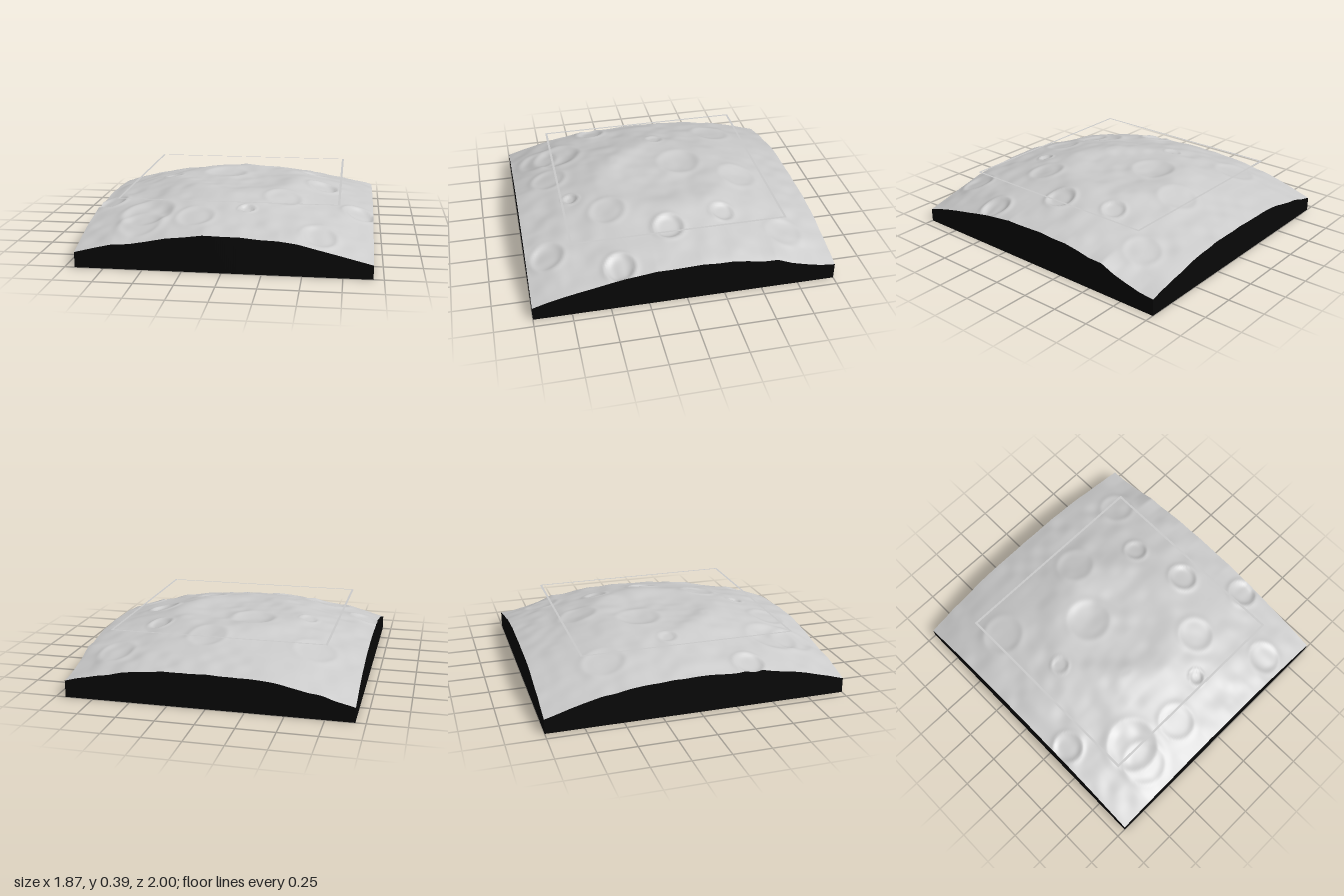
import * as THREE from 'three';

const HX = 0.935, HZ = 1, R = 3.4, TOP = 0.385;

// Small smooth value noise
const hash = (i, j) => {
  const s = Math.sin(i * 127.1 + j * 311.7) * 43758.5453;
  return s - Math.floor(s);
};
const fade = t => t * t * (3 - 2 * t);
function noise(x, z) {
  const i = Math.floor(x), j = Math.floor(z), u = fade(x - i), v = fade(z - j);
  const lerp = THREE.MathUtils.lerp;
  return lerp(lerp(hash(i, j), hash(i + 1, j), u), lerp(hash(i, j + 1), hash(i + 1, j + 1), u), v) - 0.5;
}

// Craters: x, z, radius, depth
const craters = [
  [-0.53, 0.66, 0.17, 0.012], [-0.55, 0.8, 0.14, 0.008], [0.59, 0.05, 0.1, 0.014],
  [0.12, 0.64, 0.05, 0.012], [0.5, -0.34, 0.08, 0.01], [-0.13, -0.18, 0.15, 0.007],
  [-0.2, 0.76, 0.12, 0.008], [0.6, 0.86, 0.11, 0.01], [-0.85, 0.36, 0.1, 0.012],
  [0.84, 0.42, 0.1, 0.014], [0.34, 0.42, 0.12, 0.008], [-0.5, -0.08, 0.06, 0.007],
  [0.1, -0.56, 0.13, 0.006], [-0.62, -0.55, 0.14, 0.006], [0.68, -0.72, 0.12, 0.006],
];

// Bowl with a raised rim that fades outwards
function crater(d, r, depth) {
  const t = d / r;
  const rim = Math.exp(-(((t - 1) / 0.22) ** 2)) * depth * 0.6;
  return rim - (t < 1 ? depth * (1 - t ** 4) : 0);
}

function landscape(x, z) {
  let y = TOP - R + Math.sqrt(R * R - x * x - z * z);
  const d = Math.hypot(x, z + 0.02);
  // Broad central basin and its rim
  y += 0.019 * Math.exp(-(((d - 0.42) / 0.13) ** 2)) - 0.016 * Math.exp(-((d / 0.3) ** 4));
  for (const [cx, cz, r, depth] of craters) y += crater(Math.hypot(x - cx, z - cz), r, depth);
  y += 0.012 * noise(x * 5 + 9, z * 5 + 4) + 0.01 * noise(x * 11, z * 11 + 30);
  return Math.min(y, 0.388);
}

// Cut profiles along the front and the +x side: evenly spaced heights
const frontCut = [0.1, 0.13, 0.158, 0.166, 0.187, 0.211, 0.223, 0.239, 0.236, 0.235, 0.224, 0.22, 0.205, 0.176, 0.148, 0.119, 0.09];
const sideCut = [0.112, 0.122, 0.145, 0.172, 0.214, 0.216, 0.236, 0.25, 0.25, 0.258, 0.254, 0.25, 0.25, 0.237, 0.225, 0.207, 0.186, 0.167, 0.146, 0.121, 0.09];

function sample(list, t) {
  const f = THREE.MathUtils.clamp(t, 0, 1) * (list.length - 1);
  const i = Math.min(Math.floor(f), list.length - 2);
  return THREE.MathUtils.lerp(list[i], list[i + 1], f - i);
}

function height(x, z) {
  const nearFront = (px, pz) => {
    const w = THREE.MathUtils.smoothstep(pz, HZ - 0.22, HZ);
    return landscape(px, pz) + w * (sample(frontCut, (px + HX) / (2 * HX)) - landscape(px, HZ));
  };
  const w = THREE.MathUtils.smoothstep(x, HX - 0.22, HX);
  return nearFront(x, z) + w * (sample(sideCut, (z + HZ) / (2 * HZ)) - nearFront(HX, z));
}

export function createModel() {
  const group = new THREE.Group();
  const grey = new THREE.MeshStandardMaterial({ color: 0xcccccc });
  const black = new THREE.MeshStandardMaterial({ color: 0x080808 });
  const add = (name, geometry, material) => {
    const mesh = new THREE.Mesh(geometry, material);
    mesh.name = name;
    group.add(mesh);
  };
  const NX = 140, NZ = 150;

  // Curved, cratered ground
  const ground = new THREE.PlaneGeometry(2 * HX, 2 * HZ, NX, NZ).rotateX(-Math.PI / 2);
  const p = ground.attributes.position;
  for (let i = 0; i < p.count; i++) p.setY(i, height(p.getX(i), p.getZ(i)));
  ground.computeVertexNormals();
  add('terrain', ground, grey);

  // Four cut walls whose top edge follows the ground
  ['frontWall', 'leftWall', 'backWall', 'rightWall'].forEach((name, k) => {
    const across = k % 2 === 0;
    const wall = new THREE.PlaneGeometry(across ? 2 * HX : 2 * HZ, 1, across ? NX : NZ, 1);
    wall.translate(0, 0, across ? HZ : HX).rotateY(k * Math.PI / 2);
    const q = wall.attributes.position;
    for (let i = 0; i < q.count; i++) {
      q.setY(i, q.getY(i) > 0 ? height(q.getX(i), q.getZ(i)) : 0);
    }
    add(name, wall, black);
  });

  // Flat underside
  add('base', new THREE.PlaneGeometry(2 * HX, 2 * HZ).rotateX(Math.PI / 2), black);

  // Thin square scale frame hovering level with the summit
  const square = (shape, s) => shape.moveTo(-s, -s).lineTo(s, -s).lineTo(s, s).lineTo(-s, s).closePath();
  const outline = square(new THREE.Shape(), 0.718);
  outline.holes.push(square(new THREE.Path(), 0.703));
  const frame = new THREE.ShapeGeometry(outline).rotateX(-Math.PI / 2).translate(0, 0.384, 0);
  add('scaleFrame', frame, new THREE.MeshStandardMaterial({ color: 0xcccccc, side: THREE.DoubleSide }));

  return group;
}
